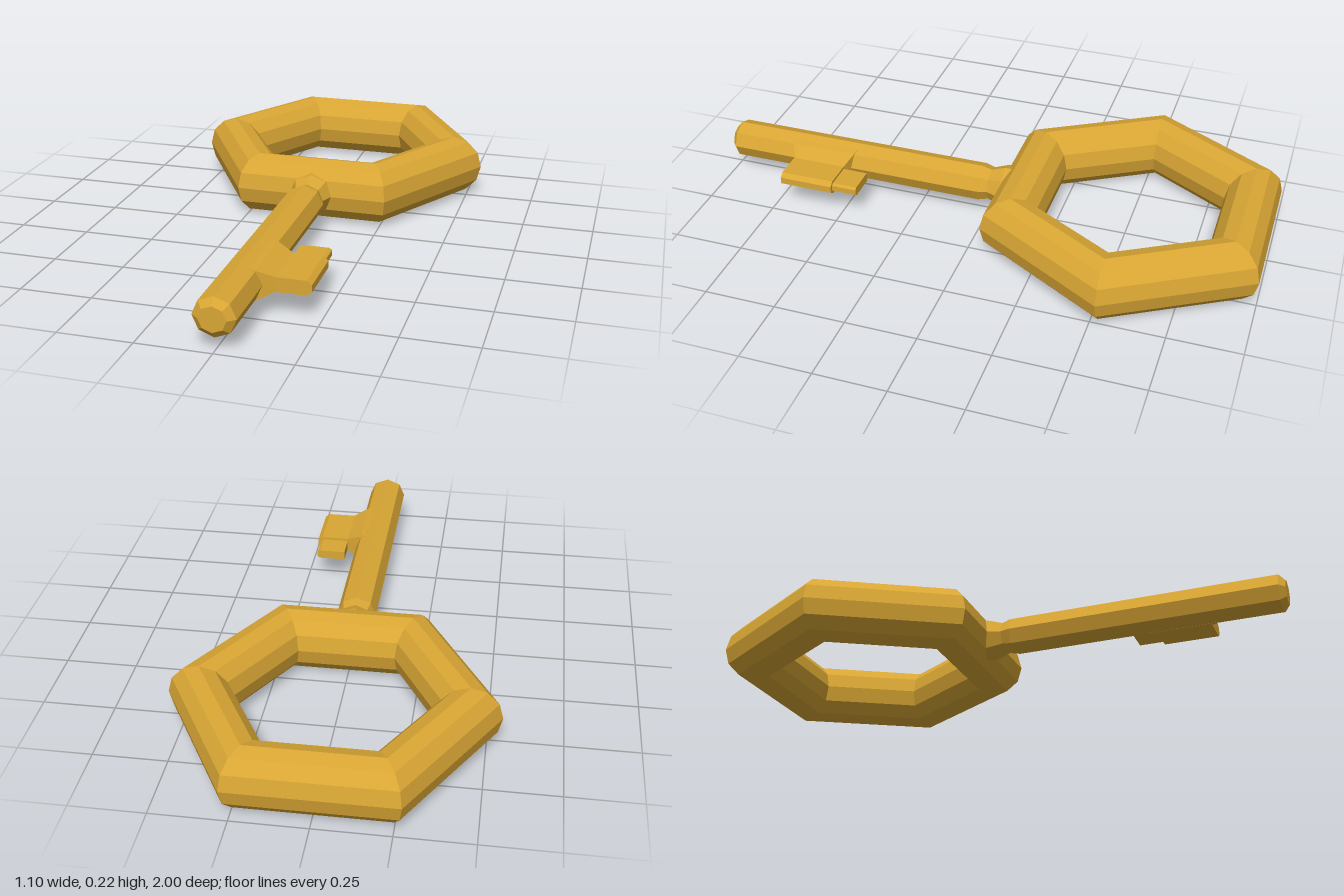
import * as THREE from 'three';

const MID = 0.11; // height of the key's centre plane

// Loft of rectangles along x; each section is [x, halfHeight, zBack, zFront]
function loft(sections) {
  const pos = [];
  const idx = [];
  for (const [x, h, z0, z1] of sections) {
    pos.push(x, -h, z0, x, h, z0, x, h, z1, x, -h, z1);
  }
  for (let s = 0; s < sections.length - 1; s++) {
    for (let i = 0; i < 4; i++) {
      const a = s * 4 + i;
      const b = s * 4 + ((i + 1) % 4);
      idx.push(a, b, b + 4, a, b + 4, a + 4);
    }
  }
  const e = (sections.length - 1) * 4;
  idx.push(0, 2, 1, 0, 3, 2, e, e + 1, e + 2, e, e + 2, e + 3);
  const geo = new THREE.BufferGeometry();
  geo.setAttribute('position', new THREE.Float32BufferAttribute(pos, 3));
  geo.setIndex(idx);
  return geo;
}

export function createModel() {
  const key = new THREE.Group();
  key.name = 'key';
  const gold = new THREE.MeshStandardMaterial({ color: 0xd9a634, flatShading: true });

  const add = (name, geometry, z = 0) => {
    const geo = geometry.toNonIndexed();
    geo.computeVertexNormals();
    const mesh = new THREE.Mesh(geo, gold);
    mesh.name = name;
    mesh.position.set(0, MID, z);
    key.add(mesh);
  };

  // Hexagonal ring handle with a twelve-sided tube
  const bow = new THREE.TorusGeometry(0.441, 0.108, 12, 6);
  bow.rotateX(Math.PI / 2);
  bow.scale(1, MID / 0.108, 1);
  add('bow', bow, -0.525);

  // Eight-sided shaft: flared collar, narrow neck, straight stem, chamfered tip
  const profile = [
    [0, -0.1], [0.08, -0.1], [0.079, -0.055], [0.06, -0.005], [0.07, 0.03],
    [0.07, 0.98], [0.045, 1], [0, 1],
  ].map(([r, z]) => new THREE.Vector2(r, z));
  const shaft = new THREE.LatheGeometry(profile, 8);
  shaft.rotateX(Math.PI / 2);
  shaft.scale(1, 0.95, 1);
  add('shaft', shaft);

  // Bit: root flaring into the shaft, flat plate, bevelled outer edge
  add('bit', loft([
    [0.03, 0.055, 0.5, 0.75],
    [0.05, 0.05, 0.505, 0.745],
    [0.105, 0.025, 0.525, 0.72],
    [0.205, 0.025, 0.525, 0.72],
    [0.222, 0.012, 0.525, 0.72],
  ]));

  // Thinner tooth pointing back toward the handle
  add('tooth', loft([
    [0.105, 0.016, 0.435, 0.54],
    [0.2, 0.016, 0.435, 0.54],
    [0.21, 0.01, 0.435, 0.54],
  ]));

  return key;
}
